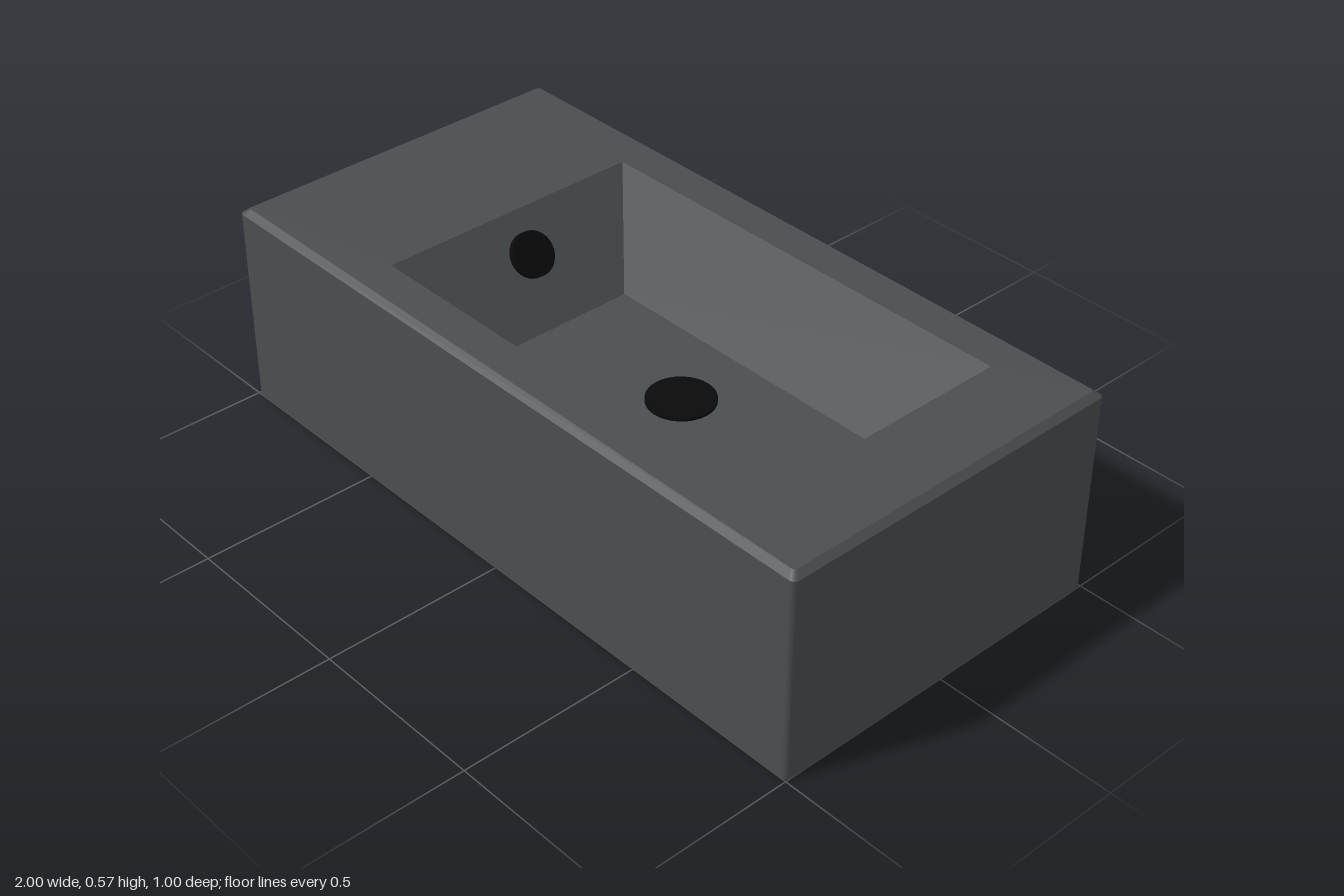
import * as THREE from 'three';

const HOLE_X = 0.12; // basin and drain centre
const FLOOR_Y = 0.325;
const TOP_Y = 0.575;

// Rounded rectangle ring in a horizontal plane; radius equal to both halves gives a circle
function ring(cx, y, halfW, halfD, radius, steps = 8) {
  const points = [];
  const signs = [[1, 1], [-1, 1], [-1, -1], [1, -1]];
  signs.forEach(([sx, sz], corner) => {
    for (let i = 0; i <= steps; i++) {
      const a = (corner + i / steps) * Math.PI / 2;
      points.push(new THREE.Vector3(
        cx + sx * (halfW - radius) + radius * Math.cos(a),
        y,
        sz * (halfD - radius) + radius * Math.sin(a)
      ));
    }
  });
  return points;
}

// Skin successive rings, skipping collapsed triangles
function loft(rings) {
  const positions = [];
  const tri = new THREE.Triangle();
  const add = (a, b, c) => {
    tri.set(a, b, c);
    if (tri.getArea() > 1e-9) positions.push(...a, ...b, ...c);
  };
  for (let i = 0; i < rings.length - 1; i++) {
    const lower = rings[i], upper = rings[i + 1], n = lower.length;
    for (let j = 0; j < n; j++) {
      const k = (j + 1) % n;
      add(lower[j], upper[j], lower[k]);
      add(upper[j], upper[k], lower[k]);
    }
  }
  const geometry = new THREE.BufferGeometry();
  geometry.setAttribute('position', new THREE.Float32BufferAttribute(positions, 3));
  geometry.computeVertexNormals();
  return geometry;
}

export function createModel() {
  const group = new THREE.Group();
  const stone = new THREE.MeshStandardMaterial({ color: 0x4a4e50 });
  const black = new THREE.MeshStandardMaterial({ color: 0x0a0a0a });

  // Block: drain pipe, underside, outer walls, chamfer, rim, sloped basin, floor
  const pipe = 0.047;
  const block = new THREE.Mesh(loft([
    ring(HOLE_X, FLOOR_Y, pipe, pipe, pipe),
    ring(HOLE_X, 0, pipe, pipe, pipe),
    ring(0, 0, 1, 0.5, 0.015),
    ring(0, 0.56, 1, 0.5, 0.015),
    ring(0, TOP_Y, 0.982, 0.482, 0.01),
    ring(HOLE_X, TOP_Y, 0.64, 0.38, 0),
    ring(HOLE_X, FLOOR_Y, 0.45, 0.215, 0),
    ring(HOLE_X, FLOOR_Y, pipe, pipe, pipe)
  ]), stone);
  block.name = 'basinBlock';
  group.add(block);

  // Drain cover on the basin floor
  const drain = new THREE.Mesh(new THREE.CylinderGeometry(0.09, 0.09, 0.008, 32), black);
  drain.name = 'drainCover';
  drain.position.set(HOLE_X, FLOOR_Y + 0.004, 0);
  group.add(drain);

  // Overflow cap standing slightly off the sloped right wall
  const normal = new THREE.Vector3(TOP_Y - FLOOR_Y, 0.19, 0).normalize();
  const overflow = new THREE.Mesh(new THREE.CylinderGeometry(0.061, 0.061, 0.022, 32), black);
  overflow.name = 'overflowCap';
  overflow.quaternion.setFromUnitVectors(new THREE.Vector3(0, 1, 0), normal);
  overflow.position.set(-0.447, 0.479, 0).addScaledVector(normal, 0.01);
  group.add(overflow);

  return group;
}
